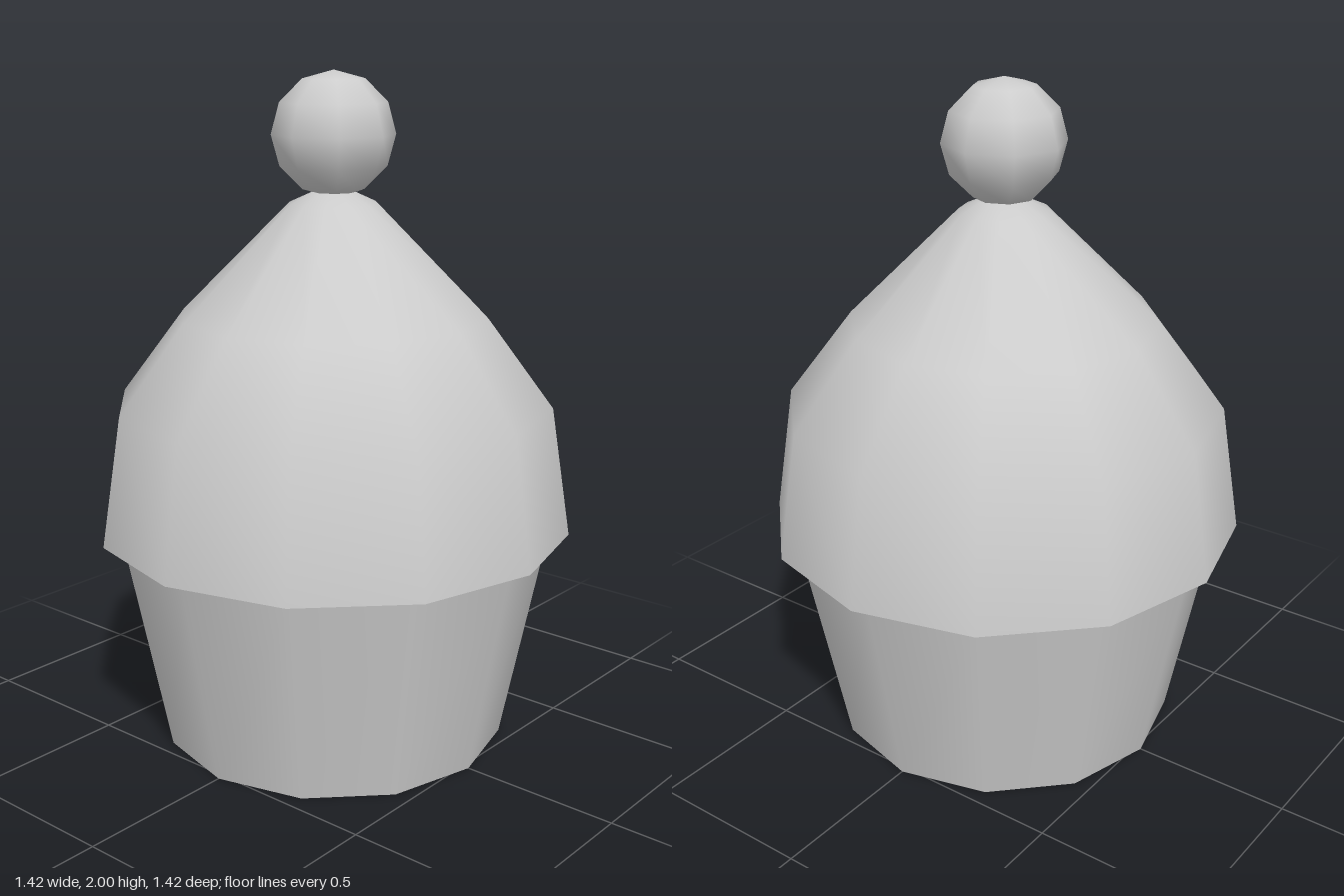
import * as THREE from 'three';

const SIDES = 12;
const RIM_Y = 0.655;

export function createModel() {
  const group = new THREE.Group();
  const grey = new THREE.MeshStandardMaterial({ color: 0xcccccc });
  grey.name = 'lightGrey';

  const add = (name, geometry, y = 0) => {
    const mesh = new THREE.Mesh(geometry, grey);
    mesh.name = name;
    mesh.position.y = y;
    group.add(mesh);
  };
  const lathe = (points) =>
    new THREE.LatheGeometry(points.map(([x, y]) => new THREE.Vector2(x, y)), SIDES);

  // Tapered cup with a flat base
  add('cup', new THREE.CylinderGeometry(0.65, 0.52, RIM_Y, SIDES), RIM_Y / 2);

  // Flat ledge under the frosting, keeping the soft outward normals of a bevel
  const ledge = lathe([[0.64, -0.07], [0.71, 0]]);
  const position = ledge.attributes.position;
  for (let i = 0; i < position.count; i++) position.setY(i, 0);
  add('frostingUnderside', ledge, RIM_Y);

  // Domed frosting, smooth from rim to tip
  add('frosting', lathe([
    [0.71, RIM_Y], [0.65, 1.04], [0.455, 1.3], [0.13, 1.625], [0.06, 1.657], [0, 1.66],
  ]));

  // Cherry resting on the tip
  add('cherry', new THREE.SphereGeometry(0.18, 8, 6), 1.82);

  return group;
}
